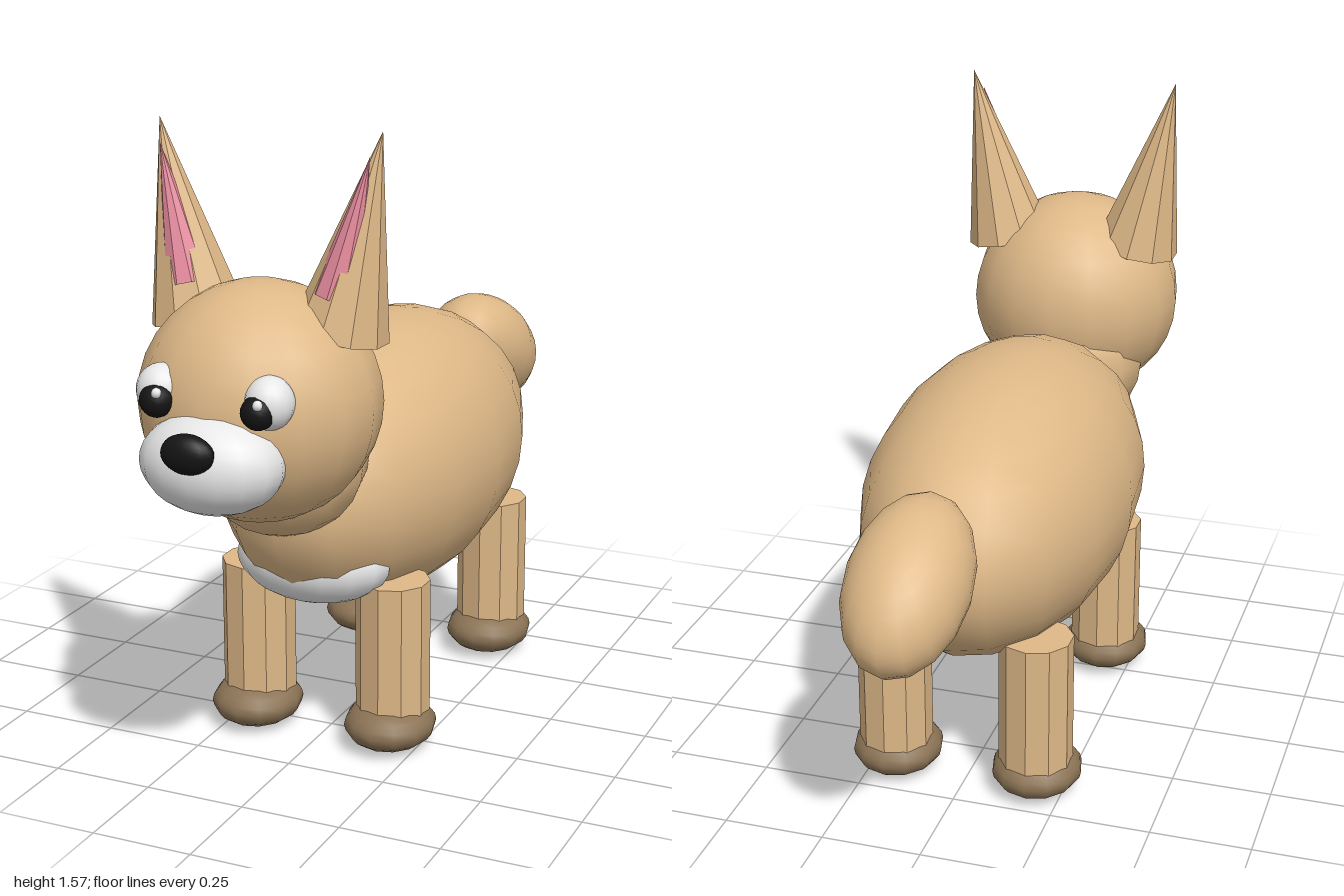
import * as THREE from 'three';

function material(name, color, flat = false) {
  const m = new THREE.MeshStandardMaterial({ color, flatShading: flat });
  m.name = name;
  return m;
}

export function createModel() {
  const model = new THREE.Group();
  model.name = 'dog';

  const tan = material('tan fur', 0xdeb887);
  const brown = material('brown paws', 0x8b7355);
  const white = material('white', 0xffffff);
  const black = material('black', 0x141414);
  const pink = material('pink inner ear', 0xe58a9c);

  // Ellipsoid from its centre and three radii
  function ellipsoid(name, mat, centre, radii, segments = 16, tilt = 0) {
    const mesh = new THREE.Mesh(new THREE.SphereGeometry(1, segments, segments), mat);
    mesh.name = name;
    mesh.position.set(...centre);
    mesh.scale.set(...radii);
    mesh.rotation.x = tilt;
    model.add(mesh);
    return mesh;
  }

  // Cone from its base centre to its tip
  function cone(name, mat, base, tip, radius, sides) {
    const a = new THREE.Vector3(...base), b = new THREE.Vector3(...tip);
    const axis = b.clone().sub(a);
    const geometry = new THREE.ConeGeometry(radius, axis.length(), sides).toNonIndexed();
    geometry.computeVertexNormals(); // faceted sides
    const mesh = new THREE.Mesh(geometry, mat);
    mesh.name = name;
    mesh.position.copy(a).add(b).multiplyScalar(0.5);
    mesh.quaternion.setFromUnitVectors(new THREE.Vector3(0, 1, 0), axis.normalize());
    model.add(mesh);
  }

  // Torso, chest patch, neck, tail
  ellipsoid('body', tan, [0, 0.655, -0.05], [0.33, 0.355, 0.62]);
  ellipsoid('chestPatch', white, [0, 0.49, 0.345], [0.2, 0.11, 0.13]);
  ellipsoid('neck', tan, [0, 0.81, 0.52], [0.21, 0.2, 0.2], 12);
  ellipsoid('tail', tan, [0, 0.745, -0.787], [0.145, 0.145, 0.235], 16, -0.52);

  // Head, muzzle, nose
  ellipsoid('head', tan, [0, 0.96, 0.62], [0.28, 0.278, 0.278]);
  ellipsoid('muzzle', white, [0, 0.88, 0.853], [0.17, 0.116, 0.125]);
  ellipsoid('nose', black, [0, 0.93, 0.966], [0.063, 0.045, 0.034]);

  for (const [label, s] of [['left', 1], ['right', -1]]) {
    // Eyes
    ellipsoid(label + 'Eye', white, [s * 0.132, 1.025, 0.837], [0.056, 0.06, 0.056]);
    ellipsoid(label + 'Pupil', black, [s * 0.123, 1.012, 0.875], [0.039, 0.039, 0.037], 12);
    ellipsoid(label + 'EyeGlint', white, [s * 0.122 + 0.014, 1.036, 0.902], [0.012, 0.012, 0.012], 8);

    // Ears with pink insides
    cone(label + 'Ear', tan, [s * 0.178, 1.125, 0.573], [s * 0.275, 1.578, 0.56], 0.112, 10);
    cone(label + 'InnerEar', pink, [s * 0.185, 1.215, 0.605], [s * 0.258, 1.525, 0.592], 0.056, 10);

    // Legs and paws
    for (const [end, legZ, pawZ] of [['Front', 0.285, 0.3], ['Back', -0.397, -0.384]]) {
      const geometry = new THREE.CylinderGeometry(0.092, 0.092, 0.36, 10).toNonIndexed();
      geometry.computeVertexNormals();
      const leg = new THREE.Mesh(geometry, tan);
      leg.name = label + end + 'Leg';
      leg.position.set(s * 0.183, 0.26, legZ);
      model.add(leg);
      ellipsoid(label + end + 'Paw', brown, [s * 0.183, 0.067, pawZ], [0.113, 0.062, 0.123], 12);
    }
  }

  return model;
}
